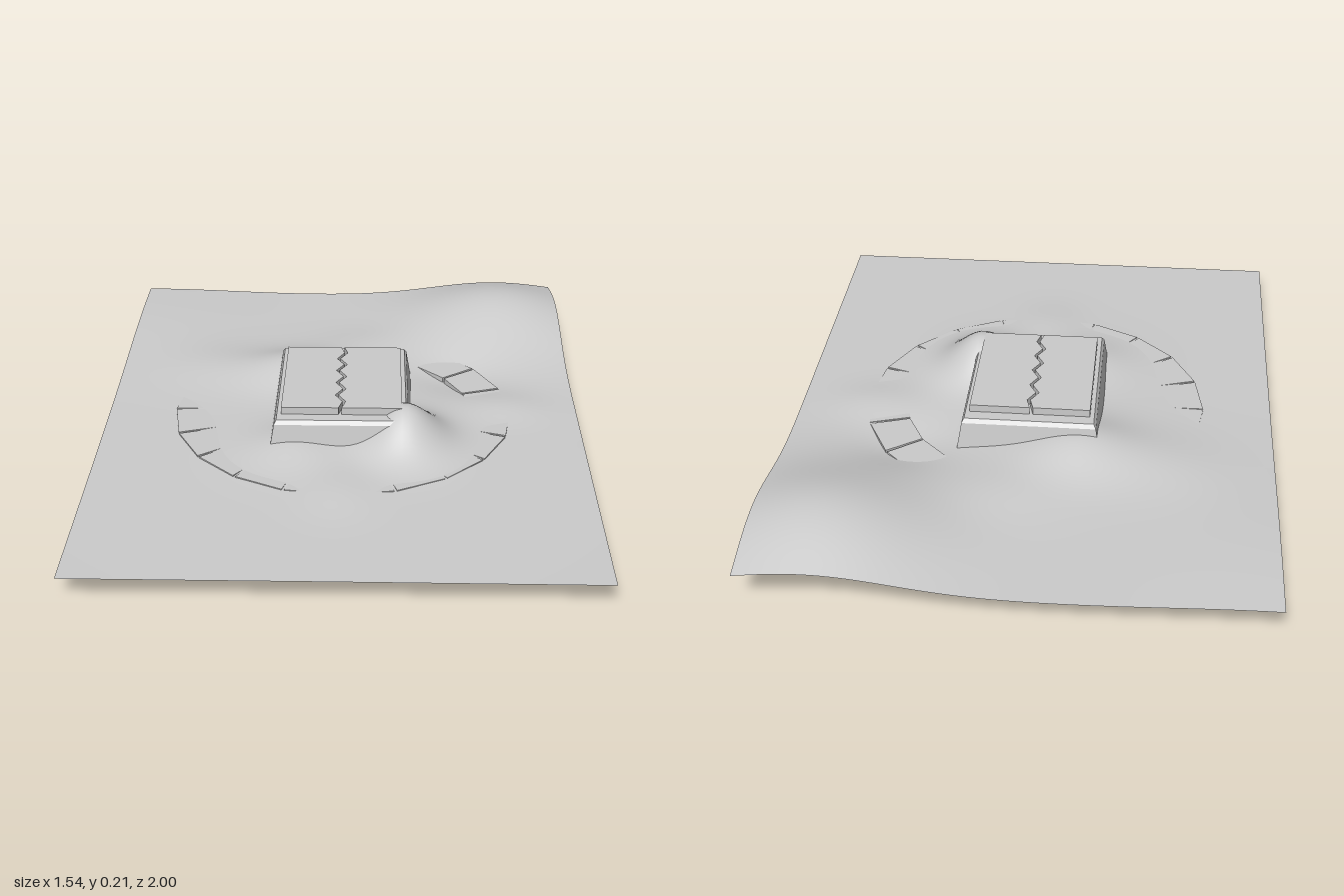
import * as THREE from 'three';

const grey = new THREE.MeshStandardMaterial({ color: 0xcccccc, side: THREE.DoubleSide });
const flatGrey = new THREE.MeshStandardMaterial({ color: 0xcccccc, side: THREE.DoubleSide, flatShading: true });

function addMesh(parent, name, geometry, material) {
  const mesh = new THREE.Mesh(geometry, material);
  mesh.name = name;
  parent.add(mesh);
  return mesh;
}

// Ground bumps: [x, z, height, spreadX, spreadZ]
const bumps = [
  [0, 0, 0.022, 0.36, 0.36],        // low rise inside the ring
  [0.2, 0.21, 0.122, 0.085, 0.1],   // mound burying a slab corner
  [0.56, -0.74, 0.115, 0.24, 0.22], // back hill
  [-0.16, -0.27, 0.06, 0.13, 0.11], // mound behind the block
  [-0.15, 0.26, 0.03, 0.1, 0.1],
  [-0.75, -0.75, 0.025, 0.3, 0.35],
  [0, 0.52, 0.012, 0.08, 0.1],      // soil drifts over the ring
  [0.53, -0.04, 0.014, 0.1, 0.08],
  [0.05, -0.5, 0.014, 0.12, 0.1],
  [-0.44, -0.32, 0.014, 0.12, 0.12],
  [0.38, -0.28, -0.026, 0.1, 0.1],  // hollow baring two stones
];

function groundHeight(x, z) {
  let y = 0.073;
  for (const [cx, cz, h, sx, sz] of bumps) {
    y += h * Math.exp(-0.5 * (((x - cx) / sx) ** 2 + ((z - cz) / sz) ** 2));
  }
  return y;
}

function groundGeometry() {
  const geo = new THREE.PlaneGeometry(1.54, 2, 77, 100).rotateX(-Math.PI / 2);
  const p = geo.attributes.position;
  for (let i = 0; i < p.count; i++) p.setY(i, groundHeight(p.getX(i), p.getZ(i)));
  geo.computeVertexNormals();
  return geo;
}

// Wedge-shaped kerb stone, hollow underneath
function stoneGeometry(inner, outer, height, angle) {
  const pt = (r, a, y) => new THREE.Vector3(r * Math.sin(a), y, r * Math.cos(a));
  const h = angle / 2;
  const corners = (y) => [pt(outer, -h, y), pt(outer, h, y), pt(inner, h, y), pt(inner, -h, y)];
  const points = [...corners(0), ...corners(height)];
  const index = [4, 5, 6, 4, 6, 7];
  for (let i = 0; i < 4; i++) {
    const j = (i + 1) % 4;
    index.push(i, j, j + 4, i, j + 4, i + 4);
  }
  const geo = new THREE.BufferGeometry().setFromPoints(points);
  geo.setIndex(index);
  const flat = geo.toNonIndexed();
  flat.computeVertexNormals();
  return flat;
}

// Box whose top is narrowed
function taperedBox(w, h, d, scaleX, scaleZ) {
  const geo = new THREE.BoxGeometry(w, h, d).toNonIndexed();
  const p = geo.attributes.position;
  for (let i = 0; i < p.count; i++) {
    if (p.getY(i) > 0) p.setXYZ(i, p.getX(i) * scaleX, h / 2, p.getZ(i) * scaleZ);
  }
  geo.computeVertexNormals();
  return geo.translate(0, h / 2, 0);
}

// Half of the cracked slab; side is -1 or 1
function slabHalf(side) {
  const shape = new THREE.Shape();
  const steps = 10;
  shape.moveTo(side * 0.19, -0.225);
  for (let i = 0; i <= steps; i++) {
    const zig = i === 0 || i === steps ? 0 : (i % 2 ? 0.012 : -0.012);
    shape.lineTo(-0.005 + zig + side * 0.005, -0.225 + (0.45 * i) / steps);
  }
  shape.lineTo(side * 0.19, 0.225);
  shape.closePath();
  const geo = new THREE.ExtrudeGeometry(shape, { depth: 0.027, bevelEnabled: false });
  return geo.rotateX(-Math.PI / 2).translate(0, 0.182, 0);
}

export function createModel() {
  const model = new THREE.Group();
  model.name = 'buriedStoneCircle';

  addMesh(model, 'ground', groundGeometry(), grey);

  // Ring of kerb stones with narrow gaps
  const ring = new THREE.Group();
  ring.name = 'stoneRing';
  const count = 20;
  const step = (Math.PI * 2) / count;
  const stone = stoneGeometry(0.42, 0.55, 0.085, step - 0.016);
  for (let i = 0; i < count; i++) {
    addMesh(ring, 'kerbStone', stone, flatGrey).rotation.y = (i + 0.5) * step;
  }
  model.add(ring);

  // Central block with bevelled shoulder and cracked slab
  const block = new THREE.Group();
  block.name = 'centralBlock';
  addMesh(block, 'blockBody', taperedBox(0.48, 0.172, 0.6, 0.88, 0.915), flatGrey);
  addMesh(block, 'blockShoulder', taperedBox(0.422, 0.013, 0.549, 0.965, 0.965), flatGrey).position.y = 0.172;
  for (const side of [-1, 1]) {
    addMesh(block, side < 0 ? 'slabRight' : 'slabLeft', slabHalf(side), flatGrey);
  }
  model.add(block);

  return model;
}
